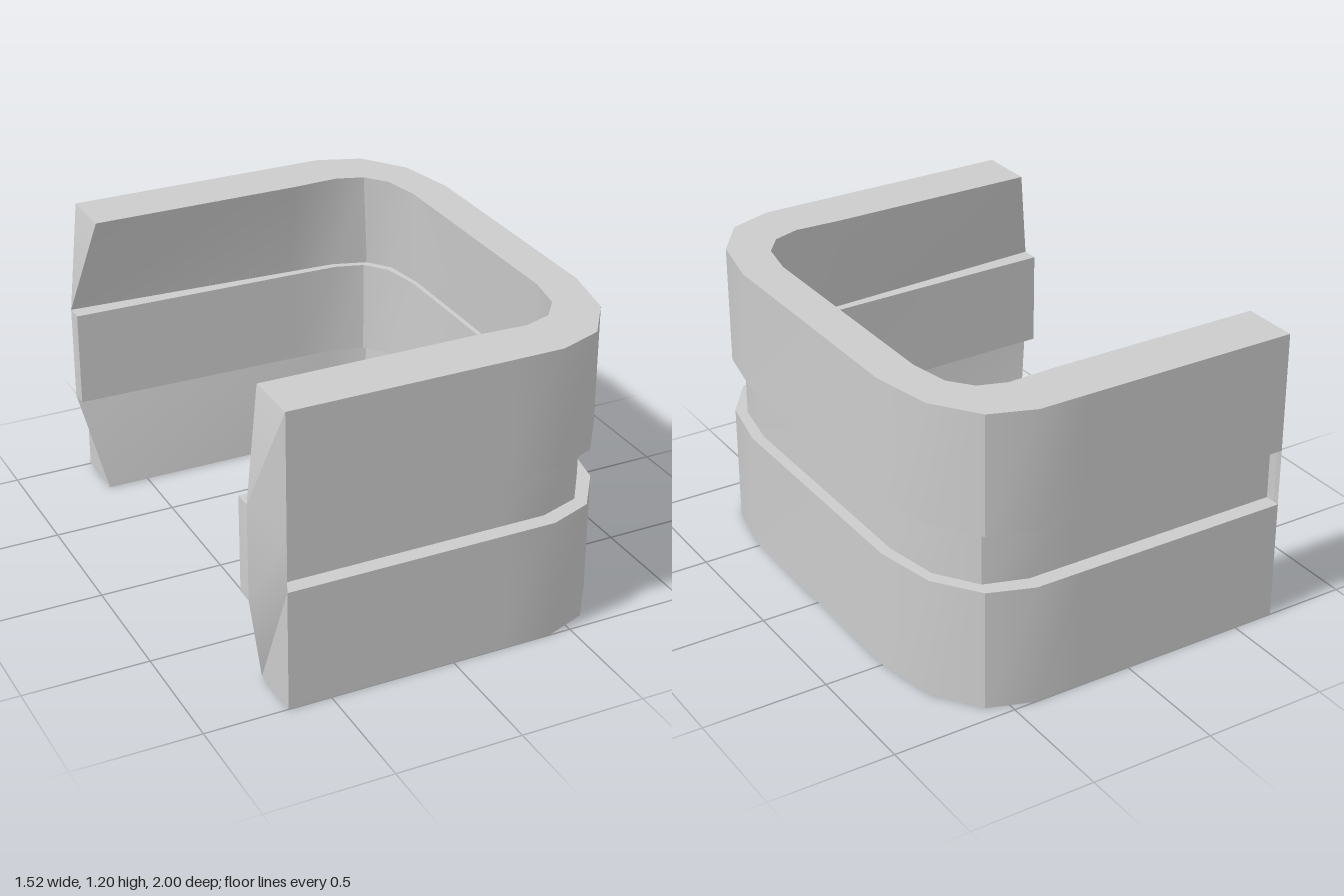
import * as THREE from 'three';
import { toCreasedNormals } from 'three/addons/utils/BufferGeometryUtils.js';

// Half plan outlines [x, z], from the arm tip round the corner to the back wall
const outer = [[-0.67, 1], [0.2, 1], [0.41, 1], [0.585, 0.935], [0.71, 0.76], [0.76, 0.51]];
const groove = [[-0.67, 0.935], [0.2, 0.935], [0.4, 0.935], [0.565, 0.88], [0.675, 0.72], [0.715, 0.5]];
const inner = [[-0.67, 0.77], [0.2, 0.77], [0.39, 0.778], [0.5, 0.74], [0.57, 0.65], [0.6, 0.49]];
const recess = [[-0.76, 0.87], [0.2, 0.82], [0.39, 0.81], [0.53, 0.765], [0.6, 0.67], [0.625, 0.49]];
const band = [[-0.76, 0.8], [0.2, 0.785], [0.39, 0.78], [0.505, 0.745], [0.575, 0.655], [0.605, 0.49]];

// Cross-section: up the outside past the groove, over the top, down the inside past the raised band
const section = [
  [outer, 0], [outer, 0.49], [groove, 0.49], [groove, 0.72], [outer, 0.72], [outer, 1.2],
  [inner, 1.2], [recess, 0.8], [band, 0.8], [band, 0.41], [recess, 0.41], [inner, 0],
];

// Faces closing an arm tip, as indices into the section
const tipFaces = [[5, 6, 7, 4], [4, 7, 10, 1], [1, 10, 11, 0], [7, 8, 9, 10]];

function bracketGeometry() {
  const half = outer.length, stations = half * 2, n = section.length;
  const positions = [];
  const point = (s, k) => {
    const [path, y] = section[k % n];
    const mirrored = s >= half;
    const [x, z] = path[mirrored ? stations - 1 - s : s];
    return [x, y, mirrored ? -z : z];
  };
  const quad = (a, b, c, d) => positions.push(...a, ...b, ...c, ...a, ...c, ...d);

  // Sweep the section around the U
  for (let s = 0; s < stations - 1; s++) {
    for (let k = 0; k < n; k++) {
      quad(point(s, k), point(s + 1, k), point(s + 1, k + 1), point(s, k + 1));
    }
  }
  // Pointed tips of both arms
  for (const [a, b, c, d] of tipFaces) {
    quad(point(0, a), point(0, b), point(0, c), point(0, d));
    const e = stations - 1;
    quad(point(e, a), point(e, d), point(e, c), point(e, b));
  }

  const geometry = new THREE.BufferGeometry();
  geometry.setAttribute('position', new THREE.Float32BufferAttribute(positions, 3));
  return toCreasedNormals(geometry, 0.52);
}

export function createModel() {
  const group = new THREE.Group();
  group.name = 'bracket';
  const material = new THREE.MeshStandardMaterial({ color: 0xcccccc, side: THREE.DoubleSide });
  const mesh = new THREE.Mesh(bracketGeometry(), material);
  mesh.name = 'groovedCuff';
  group.add(mesh);
  return group;
}
